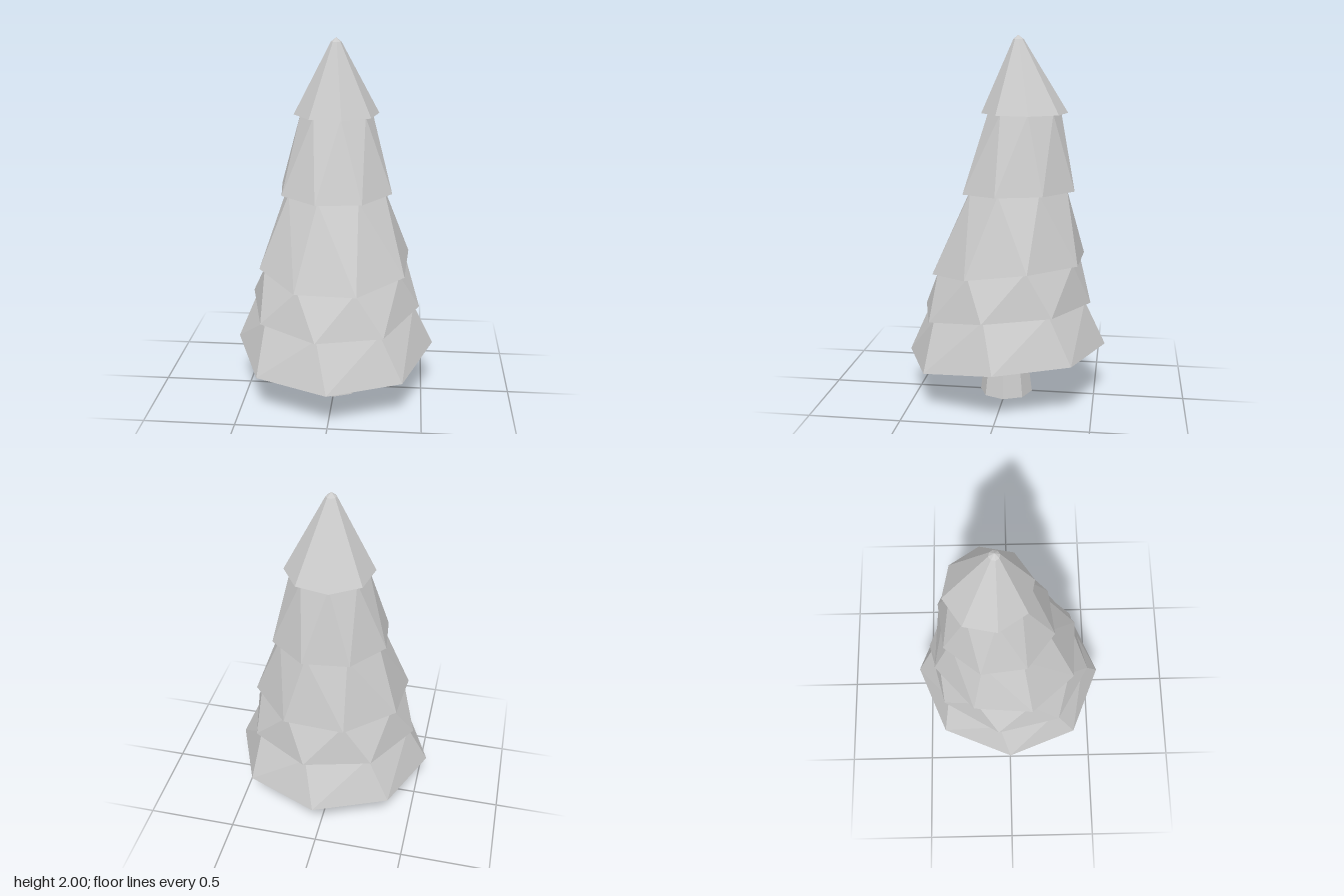
import * as THREE from 'three';

const SIDES = 8;
const material = new THREE.MeshStandardMaterial({ color: 0xcccccc, flatShading: true });

// One eight-sided ring: radius r, height y, depth offset z, turn in degrees, and how far its front droops.
function ring(r, y, z = 0, turn = 0, droop = 0) {
  return Array.from({ length: SIDES }, (_, i) => {
    const a = THREE.MathUtils.degToRad(turn) + (i / SIDES) * Math.PI * 2;
    const s = Math.sin(a);
    const f = Math.pow(THREE.MathUtils.clamp(s + 0.25, 0, 1), 1.6);
    return [r * Math.cos(a), y - droop * f, z + r * s];
  });
}

// Faceted skin over a list of rings, ordered along the surface.
function skin(name, rings) {
  const pos = [];
  for (let k = 0; k < rings.length - 1; k++) {
    const a = rings[k], b = rings[k + 1];
    for (let i = 0; i < SIDES; i++) {
      const j = (i + 1) % SIDES;
      pos.push(...a[i], ...b[i], ...a[j], ...a[j], ...b[i], ...b[j]);
    }
  }
  const geometry = new THREE.BufferGeometry();
  geometry.setAttribute('position', new THREE.Float32BufferAttribute(pos, 3));
  geometry.computeVertexNormals();
  const mesh = new THREE.Mesh(geometry, material);
  mesh.name = name;
  return mesh;
}

export function createModel() {
  const tree = new THREE.Group();
  tree.name = 'pineTree';

  // Trunk: closed foot, slight waist, flare into the branches
  tree.add(skin('trunk', [
    ring(0, 0), ring(0.148, 0), ring(0.122, 0.2), ring(0.15, 0.33),
  ]));

  // Skirts from the lowest up: bottom rim, and the inset neck of the skirt below it
  const skirts = [
    { r: 0.557, y: 0.305, z: 0, turn: 0, droop: 0.083 },
    { r: 0.48, y: 0.56, z: 0, turn: 8, droop: 0.08, inset: 0.935 },
    { r: 0.433, y: 0.793, z: -0.017, turn: 25.5, droop: 0.083, inset: 0.93 },
    { r: 0.325, y: 1.18, z: -0.067, turn: 60.5, droop: 0.018, inset: 0.87 },
    { r: 0.235, y: 1.588, z: -0.1, turn: 79, droop: 0, inset: 0.84 },
  ];
  const rim = (s) => ring(s.r, s.y, s.z, s.turn, s.droop);
  const neck = (s) => ring(s.r * s.inset, s.y + 0.005, s.z, s.turn, s.droop);

  skirts.forEach((s, k) => {
    const inner = k === 0 ? ring(0.15, 0.33) : neck(s);
    const above = skirts[k + 1];
    // The last skirt closes in a small blunt tip
    const top = above
      ? [neck(above)]
      : [ring(0.028, 1.978, -0.065, 79), ring(0, 2, -0.063, 79)];
    tree.add(skin(`branches${k + 1}`, [inner, rim(s), ...top]));
  });

  return tree;
}
